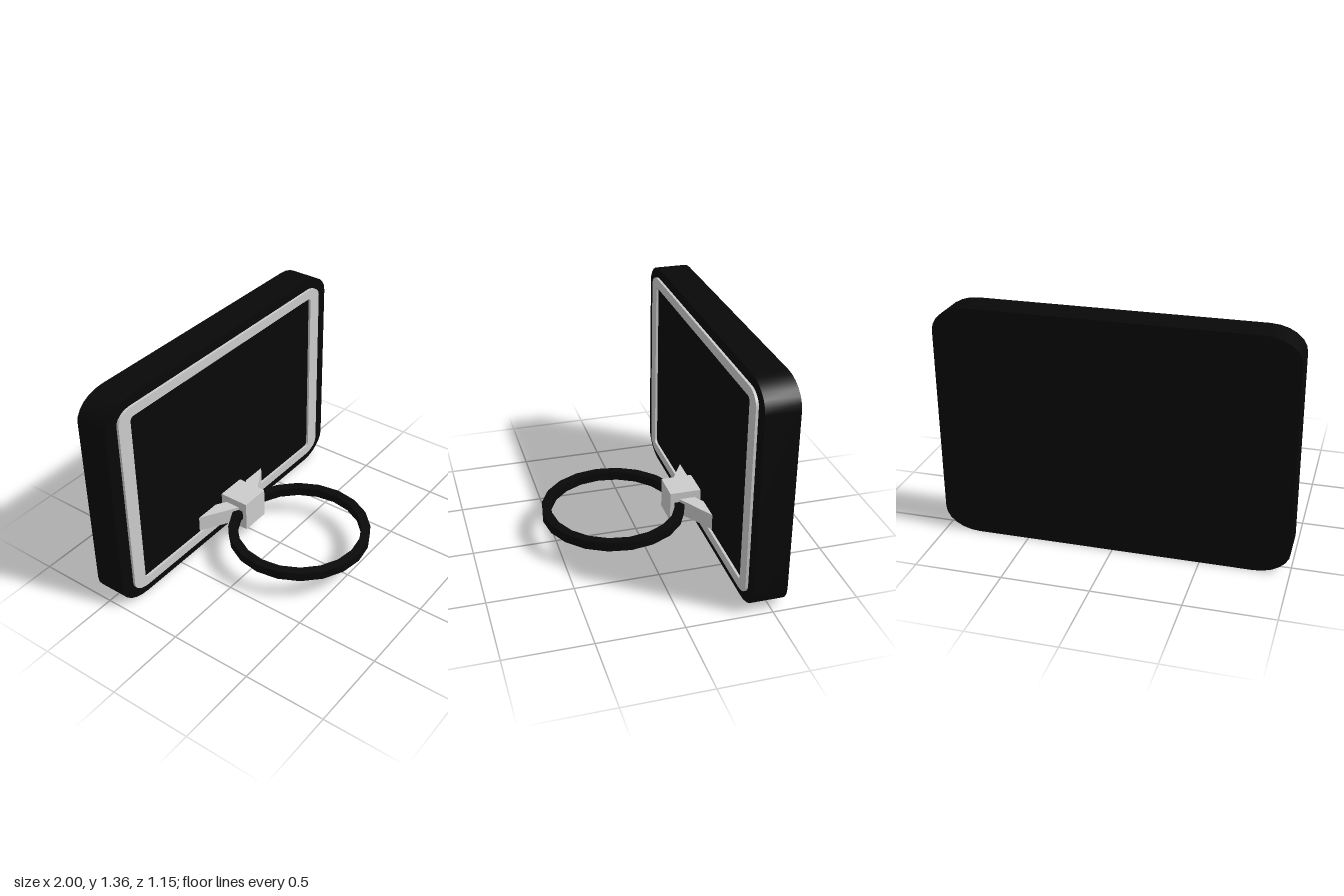
import * as THREE from 'three';
import { toCreasedNormals } from 'three/addons/utils/BufferGeometryUtils.js';

const grey = new THREE.MeshStandardMaterial({ color: 0xcccccc });
const black = new THREE.MeshStandardMaterial({ color: 0x080808 });
const MID_Y = 0.68;

// Rectangle with elliptical corners, centred on the board
function roundedRect(Target, hw, hh, rx, ry) {
  const s = new Target();
  const corners = [[1, 1, 0], [-1, 1, 1], [-1, -1, 2], [1, -1, 3]];
  const points = [];
  for (const [sx, sy, q] of corners) {
    for (let i = 0; i <= 6; i++) {
      const a = (q + i / 6) * Math.PI / 2;
      points.push(new THREE.Vector2(
        sx * (hw - rx) + rx * Math.cos(a),
        MID_Y + sy * (hh - ry) + ry * Math.sin(a)));
    }
  }
  s.setFromPoints(points);
  s.closePath();
  return s;
}

function extrude(shape, depth) {
  const g = new THREE.ExtrudeGeometry(shape, { depth, bevelEnabled: false });
  return toCreasedNormals(g, 0.6);
}

export function createModel() {
  const model = new THREE.Group();
  model.name = 'basketballHoop';
  const add = (name, geometry, material) => {
    const mesh = new THREE.Mesh(geometry, material);
    mesh.name = name;
    model.add(mesh);
    return mesh;
  };

  // Thick backboard
  add('backboard', extrude(roundedRect(THREE.Shape, 1, 0.68, 0.2, 0.14), 0.195), black)
    .position.z = -0.575;

  // Raised border frame on the front face
  const frame = roundedRect(THREE.Shape, 0.915, 0.62, 0.11, 0.075);
  frame.holes.push(roundedRect(THREE.Path, 0.825, 0.56, 0.025, 0.025));
  add('borderFrame', extrude(frame, 0.025), grey).position.z = -0.39;

  // Central mounting block
  add('mountBlock', new THREE.BoxGeometry(0.186, 0.19, 0.195), grey)
    .position.set(0, 0.175, -0.2875);

  // Angled braces either side of the block
  for (const side of [1, -1]) {
    const brace = new THREE.Shape(
      [[0.08, -0.24], [0.315, -0.38], [0.155, -0.38], [0.08, -0.335]]
        .map(([x, z]) => new THREE.Vector2(side * x, -z)));
    const g = new THREE.ExtrudeGeometry(brace, { depth: 0.1, bevelEnabled: false });
    g.rotateX(-Math.PI / 2);
    add(side > 0 ? 'leftBrace' : 'rightBrace', g, grey).position.y = 0.125;
  }

  // Square-section rim
  const section = [[0.375, 0.15], [0.43, 0.15], [0.43, 0.205], [0.375, 0.205], [0.375, 0.15]]
    .map(([r, y]) => new THREE.Vector2(r, y));
  add('rim', toCreasedNormals(new THREE.LatheGeometry(section, 20), 0.6), black)
    .position.z = 0.143;

  return model;
}
